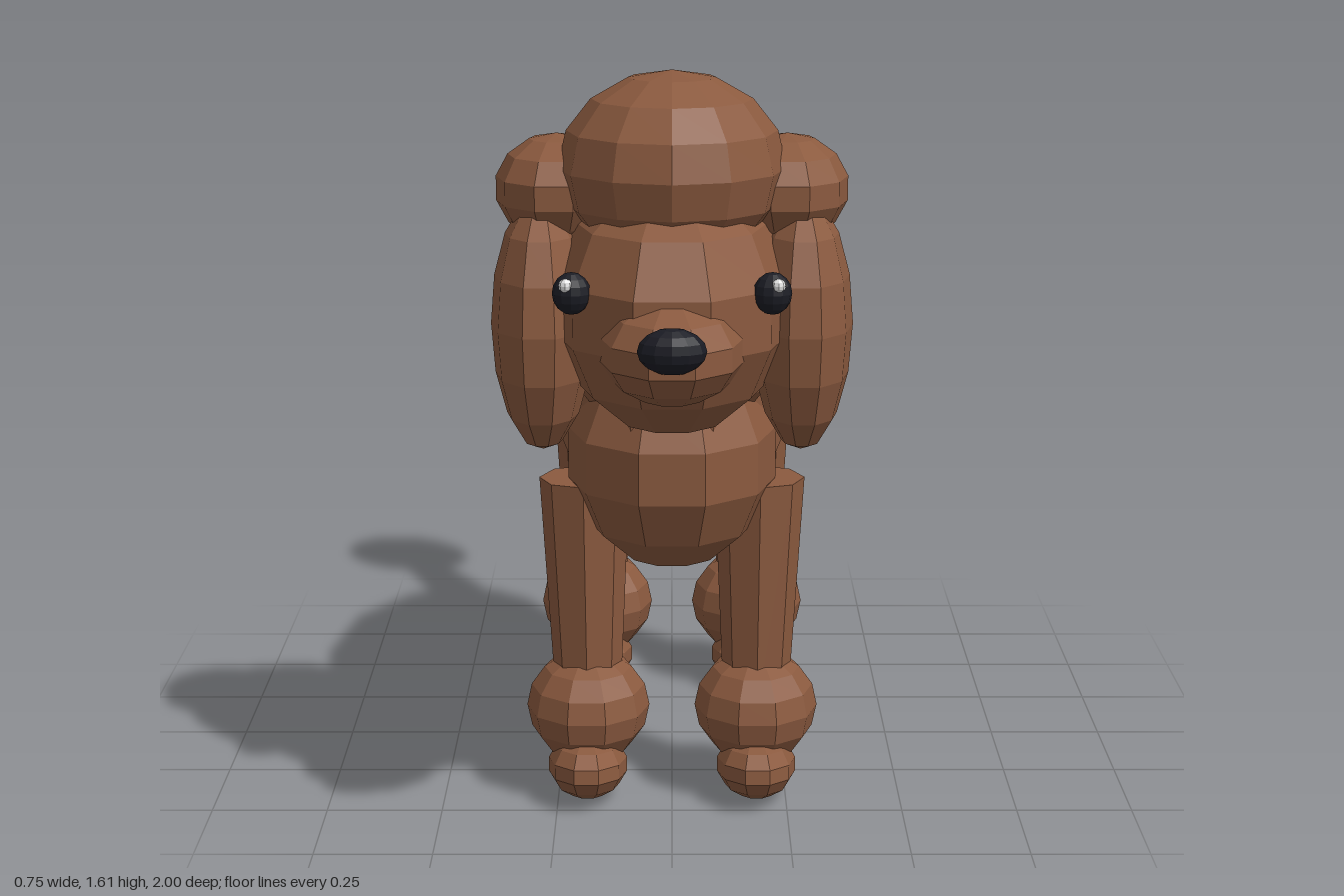
import * as THREE from 'three';

export function createModel() {
  const model = new THREE.Group();
  model.name = 'poodle';

  const material = (name, color) => {
    const m = new THREE.MeshStandardMaterial({ color, flatShading: true });
    m.name = name;
    return m;
  };
  const brown = material('brown coat', 0x8b5a3f);
  const grey = material('grey tail', 0xb9b9b9);
  const black = material('black nose and eyes', 0x1b1c24);
  const white = material('white eye glint', 0xf2f2f2);

  const add = (name, geometry, mat, pos) => {
    const mesh = new THREE.Mesh(geometry, mat);
    mesh.name = name;
    mesh.position.set(...pos);
    model.add(mesh);
    return mesh;
  };

  // Faceted ellipsoid: the basic tuft of the whole figure
  const puff = (name, mat, pos, radii, tilt = 0, around = 10, rows = 7) => {
    const g = new THREE.SphereGeometry(1, around, rows).scale(...radii).rotateX(tilt);
    return add(name, g, mat, pos);
  };

  // Tapered rod between two points
  const rod = (name, mat, from, to, r0, r1, sides) => {
    const a = new THREE.Vector3(...from), b = new THREE.Vector3(...to);
    const g = new THREE.CylinderGeometry(r1, r0, a.distanceTo(b), sides);
    const mesh = add(name, g, mat, a.clone().add(b).multiplyScalar(0.5).toArray());
    mesh.quaternion.setFromUnitVectors(new THREE.Vector3(0, 1, 0), b.sub(a).normalize());
    return mesh;
  };

  // Trunk and neck
  puff('body', brown, [0, 0.837, -0.04], [0.285, 0.315, 0.66]);
  puff('chest', brown, [0, 0.775, 0.36], [0.23, 0.25, 0.27]);
  puff('neck', brown, [0, 1.04, 0.33], [0.25, 0.21, 0.275], 0.4);

  // Head
  puff('head', brown, [0, 1.14, 0.555], [0.252, 0.27, 0.33]);
  puff('topknot', brown, [0, 1.42, 0.54], [0.235, 0.2, 0.25], 0, 12, 8);
  puff('muzzle', brown, [0, 1.09, 0.775], [0.15, 0.11, 0.2]);
  puff('nose', black, [0, 1.122, 0.955], [0.068, 0.046, 0.045], 0, 12, 8);

  // Tail
  rod('tail', grey, [0, 0.87, -0.58], [0, 1.15, -0.825], 0.078, 0.046, 6);
  puff('tailPompom', grey, [0, 1.2, -0.852], [0.147, 0.15, 0.148], 0, 12, 8);

  for (const [side, s] of [['left', 1], ['right', -1]]) {
    // Ears
    puff(side + 'Ear', brown, [s * 0.27, 1.09, 0.515], [0.107, 0.27, 0.182], 0, 10, 8);
    puff(side + 'EarTuft', brown, [s * 0.24, 1.365, 0.455], [0.13, 0.115, 0.172]);

    // Eyes
    puff(side + 'Eye', black, [s * 0.2, 1.2, 0.765], [0.039, 0.043, 0.034], 0, 12, 8);
    puff(side + 'EyeGlint', white, [s * 0.211, 1.22, 0.79], [0.014, 0.014, 0.012], 0, 8, 6);

    // Legs with ankle pompoms and paws
    for (const [end, z] of [['Front', 0.345], ['Back', -0.435]]) {
      const x = s * 0.185;
      rod(side + end + 'Leg', brown, [x, 0.2, z], [s * 0.19, 0.715, z], 0.071, 0.098, 8);
      puff(side + end + 'Pompom', brown, [x, 0.195, z], [0.135, 0.125, 0.152], 0, 10, 8);
      puff(side + end + 'Paw', brown, [x, 0.076, z + 0.055], [0.088, 0.071, 0.146], -0.12);
    }
  }
  return model;
}
